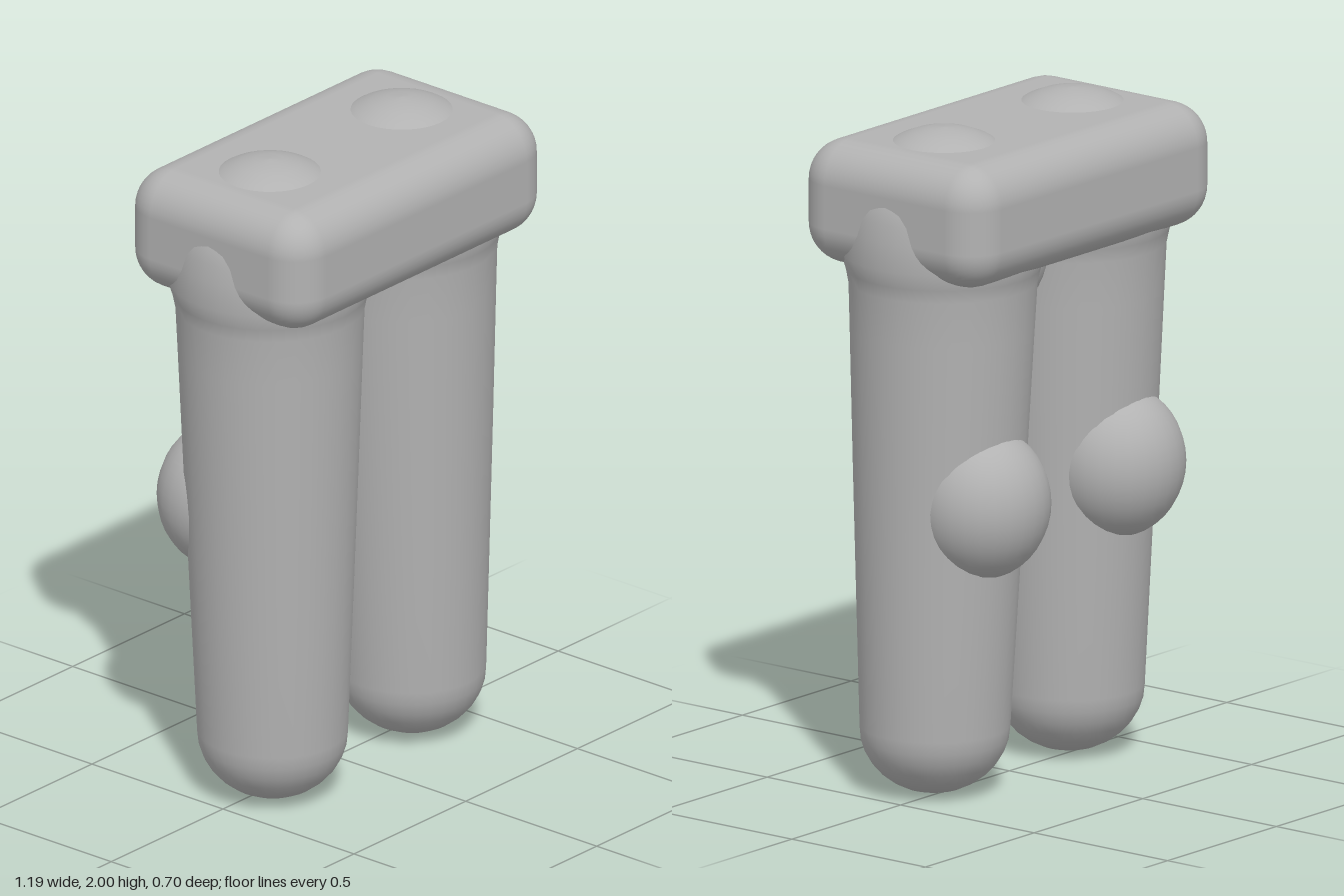
import * as THREE from 'three';
import { RoundedBoxGeometry } from 'three/addons/geometries/RoundedBoxGeometry.js';

const grey = new THREE.MeshStandardMaterial({ color: 0xb2b2b2 });
grey.name = 'plain grey';

function addPart(parent, name, geometry, x = 0, y = 0, z = 0) {
  const mesh = new THREE.Mesh(geometry, grey);
  mesh.name = name;
  mesh.position.set(x, y, z);
  parent.add(mesh);
  return mesh;
}

// Tapered limb: round foot end, straight taper, flare under the hip, domed top
function legGeometry(side) {
  const profile = [];
  for (let i = 0; i <= 8; i++) {
    const a = (i / 8) * Math.PI / 2;
    profile.push(new THREE.Vector2(0.22 * Math.sin(a), 0.205 - 0.2 * Math.cos(a)));
  }
  for (const [r, y] of [[0.237, 0.6], [0.254, 1.0], [0.27, 1.4], [0.276, 1.54], [0.284, 1.58], [0.3, 1.63], [0.294, 1.71]]) {
    profile.push(new THREE.Vector2(r, y));
  }
  for (let i = 1; i <= 10; i++) {
    const a = (i / 10) * Math.PI / 2;
    profile.push(new THREE.Vector2(i === 10 ? 0 : 0.292 * Math.cos(a), 1.72 + 0.28 * Math.sin(a)));
  }
  const geometry = new THREE.LatheGeometry(profile, 32);
  // Lean the axis from the hip towards the foot
  const p = geometry.attributes.position;
  for (let i = 0; i < p.count; i++) {
    const t = 1 - Math.min(p.getY(i) / 1.72, 1);
    p.setX(i, p.getX(i) + side * (0.295 + 0.016 * t));
    p.setZ(i, p.getZ(i) + 0.004 + 0.026 * t);
  }
  return geometry;
}

export function createModel() {
  const model = new THREE.Group();
  model.name = 'legs';

  // Hip block with rounded edges
  addPart(model, 'hips', new RoundedBoxGeometry(1.14, 0.37, 0.69, 5, 0.12), 0, 1.775, 0.005);

  // Web closing the gap between the thighs
  const web = addPart(model, 'crotch', new THREE.SphereGeometry(1, 24, 16), 0, 1.62, 0.005);
  web.scale.set(0.12, 0.22, 0.13);

  for (const side of [-1, 1]) {
    const name = side > 0 ? 'left' : 'right';
    addPart(model, name + 'Leg', legGeometry(side));
    const calf = addPart(model, name + 'Calf', new THREE.SphereGeometry(1, 28, 20), side * 0.31, 0.9, -0.15);
    calf.scale.set(0.205, 0.225, 0.2);
  }
  return model;
}
